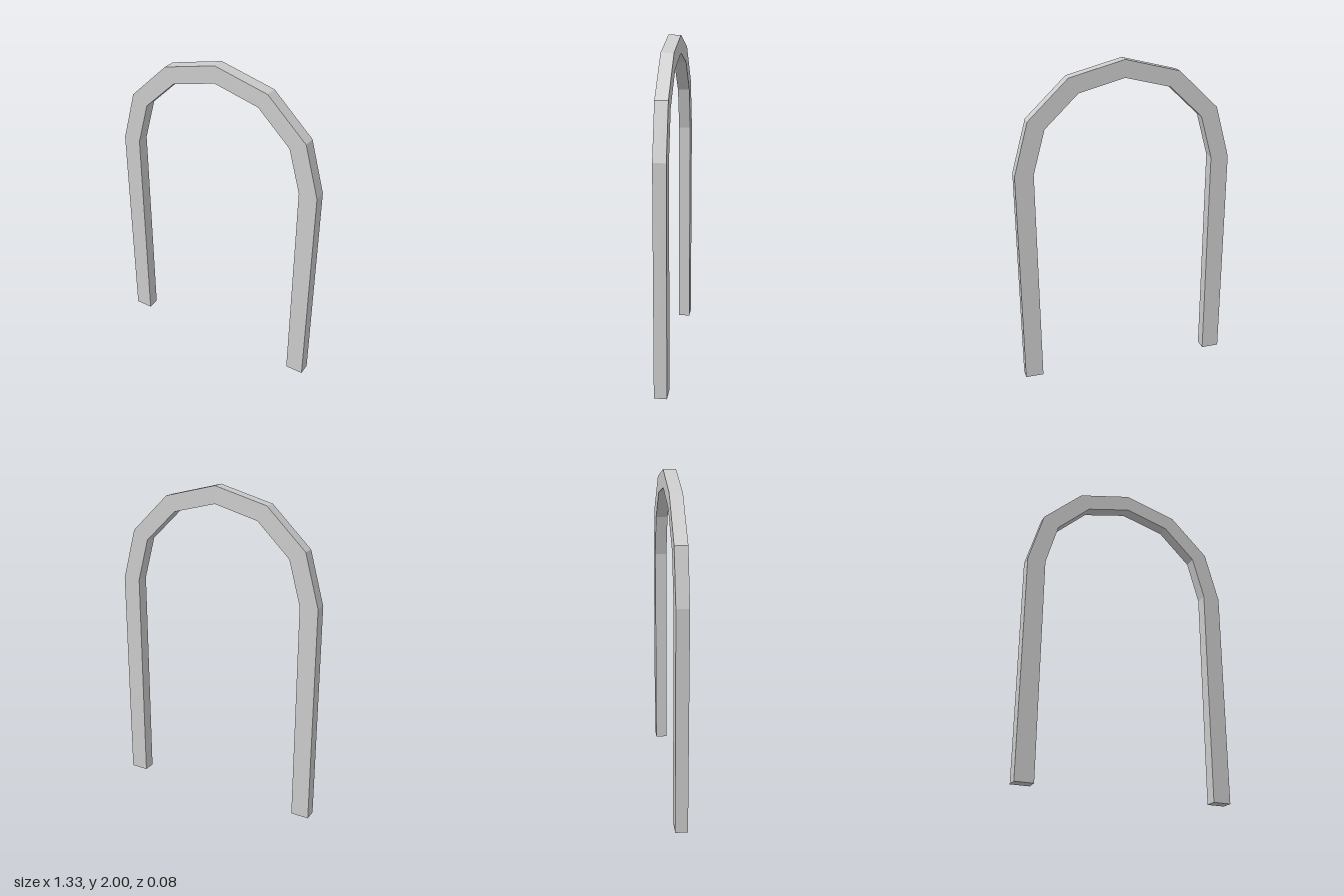
import * as THREE from 'three';

const SPRING = 1.365; // height where the legs meet the arch
const DEPTH = 0.075;

// Points of a half ellipse in six straight segments, from +x over the top to -x
function archPoints(rx, ry) {
  return Array.from({ length: 7 }, (_, i) => {
    const a = (i * Math.PI) / 6;
    return new THREE.Vector2(rx * Math.cos(a), SPRING + ry * Math.sin(a));
  });
}

export function createModel() {
  const group = new THREE.Group();
  group.name = 'archway';

  // Outline: up the outer edge, over, then back along the inner edge
  const outer = archPoints(0.665, 0.635);
  const inner = archPoints(0.553, 0.53).reverse();
  const foot = (x) => new THREE.Vector2(x, 0);
  const outline = new THREE.Shape([
    foot(0.665), ...outer, foot(-0.665),
    foot(-0.553), ...inner, foot(0.553),
  ]);

  // Legs and arch in one flat-sided frame
  const geometry = new THREE.ExtrudeGeometry(outline, { depth: DEPTH, bevelEnabled: false });
  geometry.translate(0, 0, -DEPTH / 2);
  const frame = new THREE.Mesh(
    geometry,
    new THREE.MeshStandardMaterial({ color: 0xcccccc, flatShading: true })
  );
  frame.name = 'archFrame';
  group.add(frame);
  return group;
}
